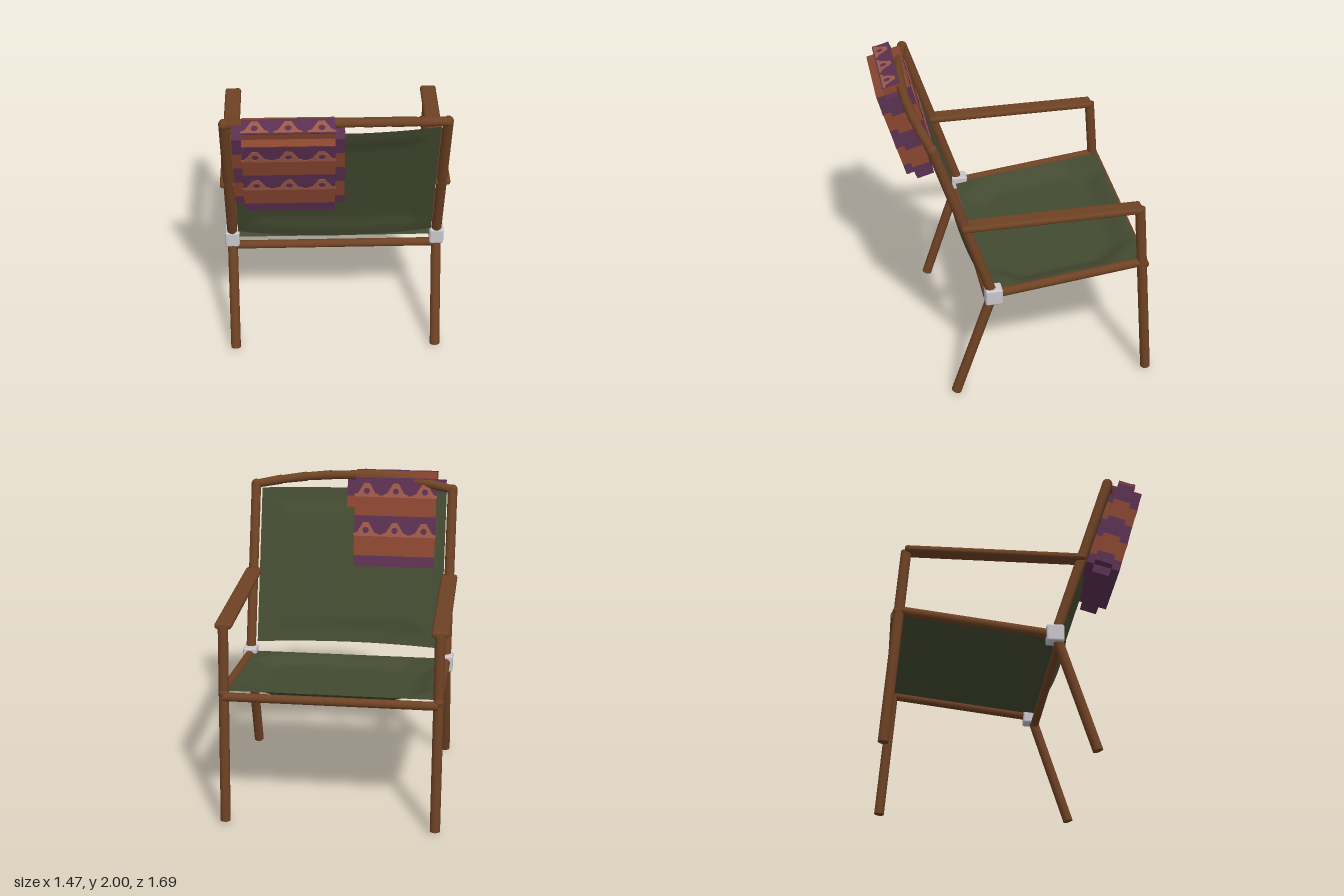
import * as THREE from 'three';
import { RoundedBoxGeometry } from 'three/addons/geometries/RoundedBoxGeometry.js';

const mat = (name, color, side = THREE.FrontSide) => {
  const m = new THREE.MeshStandardMaterial({ color, side });
  m.name = name;
  return m;
};

export function createModel() {
  const wood = mat('wood', 0x6e4224);
  const canvas = mat('olive canvas', 0x444b31, THREE.DoubleSide);
  const metal = mat('pale joint', 0xc8c6cc);
  const purple = mat('purple wool', 0x5a3050);
  const rust = mat('rust wool', 0x87452f);
  const pink = mat('pink wool', 0x9c5848);

  const chair = new THREE.Group();
  chair.name = 'chair';
  const add = (parent, name, geometry, material, x = 0, y = 0, z = 0) => {
    const m = new THREE.Mesh(geometry, material);
    m.name = name;
    m.position.set(x, y, z);
    parent.add(m);
    return m;
  };
  const up = new THREE.Vector3(0, 1, 0);
  const rod = (name, from, to, r0 = 0.033, r1 = r0) => {
    const a = new THREE.Vector3(...from), b = new THREE.Vector3(...to);
    const d = b.clone().sub(a);
    const m = add(chair, name, new THREE.CylinderGeometry(r1, r0, d.length(), 16), wood);
    m.position.copy(a).add(b).multiplyScalar(0.5);
    m.quaternion.setFromUnitVectors(up, d.normalize());
  };
  const smooth = THREE.MathUtils.smoothstep;

  // side frames, mirrored
  for (const [side, s] of [['left', 1], ['right', -1]]) {
    const x = 0.68 * s;
    rod(side + 'BackrestPost', [x, 0.78, 0.24], [x, 1.9, 0.6]);
    rod(side + 'RearLeg', [x, 0.78, 0.24], [x, 0.012, 0.49]);
    rod(side + 'FrontLeg', [x, 1.32, -0.71], [x, 0.02, -0.81]);
    rod(side + 'SeatRail', [x, 0.78, 0.24], [x, 0.9, -0.745], 0.03);
    add(chair, side + 'PostCap', new THREE.SphereGeometry(0.034, 16, 10), wood, x, 1.9, 0.6);
    add(chair, side + 'RailCap', new THREE.SphereGeometry(0.034, 16, 10), wood, x, 0.89, -0.75);
    add(chair, side + 'Armrest', new RoundedBoxGeometry(0.11, 0.042, 1.16, 3, 0.018), wood, x, 1.325, -0.14);
    add(chair, side + 'Joint', new RoundedBoxGeometry(0.095, 0.115, 0.112, 3, 0.014), metal, x, 0.777, 0.236);
  }
  rod('frontRail', [-0.68, 0.87, -0.765], [0.68, 0.87, -0.765], 0.028);
  rod('rearRail', [-0.68, 0.72, 0.262], [0.68, 0.72, 0.262], 0.028);

  // bowed top rail made of slightly tapered bamboo lengths
  const arch = (x) => {
    const k = 1 - (x / 0.68) ** 2;
    return [x, 1.9 + 0.06 * k, 0.6 + 0.09 * k];
  };
  const pieces = 8;
  for (let i = 0; i < pieces; i++) {
    const x0 = -0.68 + (1.36 * i) / pieces, x1 = x0 + 1.36 / pieces;
    const out = x0 < 0 ? [0.028, 0.032] : [0.032, 0.028];
    rod('topRailPiece', arch(x0 - 0.005), arch(x1 + 0.005), ...out);
  }

  // sling sheets: a flat grid shaped by a rule
  const sheet = (name, shape) => {
    const g = new THREE.PlaneGeometry(2, 2, 40, 40);
    const p = g.attributes.position;
    for (let i = 0; i < p.count; i++) p.setXYZ(i, ...shape(p.getX(i), p.getY(i)));
    g.computeVertexNormals();
    add(chair, name, g, canvas);
  };
  // backrest bows backward with a soft raised pad on the sitter's side
  sheet('backrest', (u, v) => {
    const y = 1.36 + 0.51 * v;
    const post = 0.24 + (0.36 * (y - 0.78)) / 1.12;
    const edge = Math.min((1 - Math.abs(u)) * 0.64, (1 - Math.abs(v)) * 0.51);
    const pad = smooth(edge, 0.06, 0.19);
    return [0.64 * u, y, post + 0.025 + 0.062 * (1 - u * u) - 0.018 * pad];
  });
  // seat sinks into an eight-sided pan
  sheet('seat', (u, v) => {
    const x = 0.65 * u, z = -0.25 - 0.515 * v;
    const dx = 0.65 * (1 - Math.abs(u)), dz = 0.515 * (1 - Math.abs(v));
    const edge = Math.min(dx, dz, (dx + dz - 0.2) * 0.7);
    const rail = 0.78 + (0.24 - z) * 0.122;
    return [x, rail + 0.01 - 0.062 * smooth(edge, 0, 0.17), z];
  });

  // folded blanket over the top rail: local y runs up the back, z points behind
  const blanket = new THREE.Group();
  blanket.name = 'blanket';
  blanket.rotation.x = 0.281;
  chair.add(blanket);
  const cx = -0.29, cz = 0.177;
  const block = (name, w, y0, y1, d, m) =>
    add(blanket, name, new THREE.BoxGeometry(w, y1 - y0, d), m, cx, (y0 + y1) / 2, cz);
  const bands = [[1.447, 1.52, purple], [1.52, 1.66, rust], [1.66, 1.796, purple],
    [1.796, 1.93, rust], [1.93, 2.06, purple]];
  for (const [y0, y1, m] of bands) {
    block('blanketBand', 0.56, y0, y1, 0.228, m);
    block('blanketSideFold', 0.68, y0, y1, 0.115, m);
  }
  block('blanketLowerFold', 0.56, 1.389, 1.447, 0.115, purple);
  block('blanketUpperFold', 0.56, 2.06, 2.11, 0.115, rust);
  block('blanketTopStripe', 0.56, 2.11, 2.116, 0.115, purple);
  block('blanketLedge', 0.56, 2.06, 2.064, 0.228, rust);

  // woven triangles with a round eye, on both faces
  const tri = new THREE.Shape([[-0.085, 0], [0.085, 0], [0.085, 0.012], [0.06, 0.02],
    [0.018, 0.09], [-0.018, 0.09], [-0.06, 0.02], [-0.085, 0.012]].map((p) => new THREE.Vector2(...p)));
  const eye = new THREE.Path();
  eye.absarc(0, 0.035, 0.021, 0, Math.PI * 2, true);
  tri.holes.push(eye);
  const triangle = new THREE.ExtrudeGeometry(tri, { depth: 0.004, bevelEnabled: false, curveSegments: 8 });
  for (const face of [1, -1]) {
    for (const y of [1.66, 1.93]) {
      for (const x of [-0.2, 0, 0.2]) {
        const t = add(blanket, 'wovenTriangle', triangle, pink, cx + x, y, cz + face * 0.113);
        if (face < 0) t.rotation.y = Math.PI;
      }
      add(blanket, 'wovenLine', new THREE.BoxGeometry(0.56, 0.012, 0.004), pink, cx, y, cz + face * 0.115);
    }
  }
  // triangles on the top edge
  for (const x of [-0.2, 0, 0.2]) {
    const t = add(blanket, 'topTriangle', triangle, pink, cx + x, 2.1145, cz + 0.05);
    t.rotation.x = -Math.PI / 2;
  }
  return chair;
}
